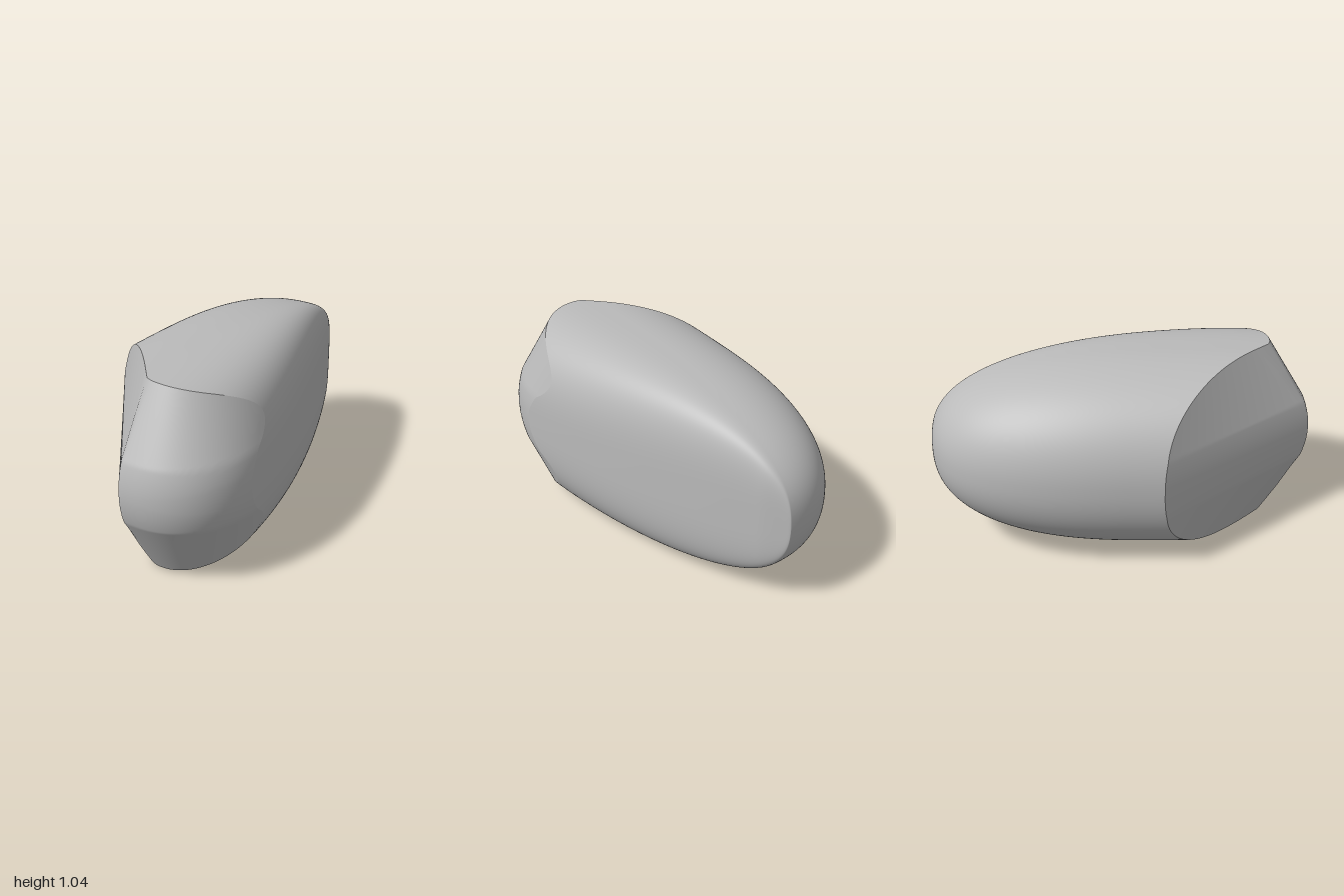
import * as THREE from 'three';

const MID = 0.52;   // height of the middle plane
const SIDES = 180;

// quarter superellipse: 1 at u = 0, falling to 0 at u = 1
const falloff = (u, n) => Math.pow(1 - Math.pow(THREE.MathUtils.clamp(u, 0, 1), n), 1 / n);

// point of the rounded body's cross-section at depth z and angle a
function bodyPoint(z, a) {
  const c = Math.cos(a), s = Math.sin(a);
  const ridge = 0.025 * (1 - z);
  const left = 0.556 * falloff(-z, 2.4);
  const right = (0.537 - 0.216 * Math.pow(Math.max(0, 0.65 - z), 1.52) - ridge) * falloff((-0.85 - z) / 0.15, 2);
  const height = MID * falloff((0.3 - z) / 1.3, 2.55) - 0.05 * Math.max(0, z - 0.3) ** 2;
  const n = c > 0 ? 2.9 + 0.5 * (1 - z) : 2.2;
  return new THREE.Vector3(
    ridge + (c > 0 ? right : -left) * Math.pow(Math.abs(c), 2 / n),
    MID + height * Math.sign(s) * Math.pow(Math.abs(s), 2 / n), z);
}

// front surface: slanted flat face on one side, curved nose on the other, chamfered above and below
function frontZ(x, y) {
  const h = Math.abs(y - MID);
  const inset = h < 0.165 ? 0.03 * (h / 0.165) ** 2 : 0.03 + 0.59 * (h - 0.165);
  // the nose narrows towards top and bottom
  const u = x > 0.12 ? (x - 0.12) / (0.418 - 0.5 * inset)
    : Math.min(0.6, (0.12 - x) / (0.42 - 0.9 * inset));
  const nose = 0.5 + 0.5 * falloff(u, 2.2) - Math.max(0, u - 1) - inset;
  // the chamfer fades across the flat face
  const fade = THREE.MathUtils.clamp((x + 0.53) / 0.55, 0, 1);
  const flat = 0.98 + 1.36 * (x - 0.05) - inset * (0.45 + 0.55 * fade);
  return Math.min(flat, nose);
}

// depth at which the body meets the front surface along angle a
function rimPoint(a) {
  let lo = -1, hi = 1.1;
  for (let k = 0; k < 40; k++) {
    const z = (lo + hi) / 2, p = bodyPoint(z, a);
    if (z < frontZ(p.x, p.y)) lo = z; else hi = z;
  }
  return bodyPoint(lo, a);
}

// closed rings of points joined into a smooth skin
function skin(name, rows, pointAt, material) {
  const pos = [], index = [];
  for (let i = 0; i <= rows; i++) {
    for (let j = 0; j < SIDES; j++) {
      const p = pointAt(i / rows, j);
      pos.push(p.x, p.y, p.z);
      if (i === rows) continue;
      const k = (j + 1) % SIDES, a = i * SIDES;
      index.push(a + j, a + k, a + SIDES + j, a + k, a + SIDES + k, a + SIDES + j);
    }
  }
  const geo = new THREE.BufferGeometry();
  geo.setAttribute('position', new THREE.Float32BufferAttribute(pos, 3));
  geo.setIndex(index);
  geo.computeVertexNormals();
  const mesh = new THREE.Mesh(geo, material);
  mesh.name = name;
  return mesh;
}

export function createModel() {
  const group = new THREE.Group();
  group.name = 'smoothStone';
  const grey = new THREE.MeshStandardMaterial({ color: 0xbababa });
  grey.name = 'stone grey';

  const angles = Array.from({ length: SIDES }, (_, j) => (j / SIDES) * Math.PI * 2);
  const rim = angles.map(rimPoint);

  // rounded body from the rear tip to the sharp rim
  group.add(skin('roundedBody', 90, (u, j) =>
    bodyPoint(-1 + (rim[j].z + 1) * u * u * (1.6 - 0.6 * u), angles[j]), grey));

  // front face and nose, from the rim in to the middle
  group.add(skin('frontFace', 60, (v, j) => {
    const s = 1 - Math.pow(v, 1.5);
    const x = 0.05 + (rim[j].x - 0.05) * s, y = MID + (rim[j].y - MID) * s;
    return new THREE.Vector3(x, y, frontZ(x, y));
  }, grey));
  return group;
}
